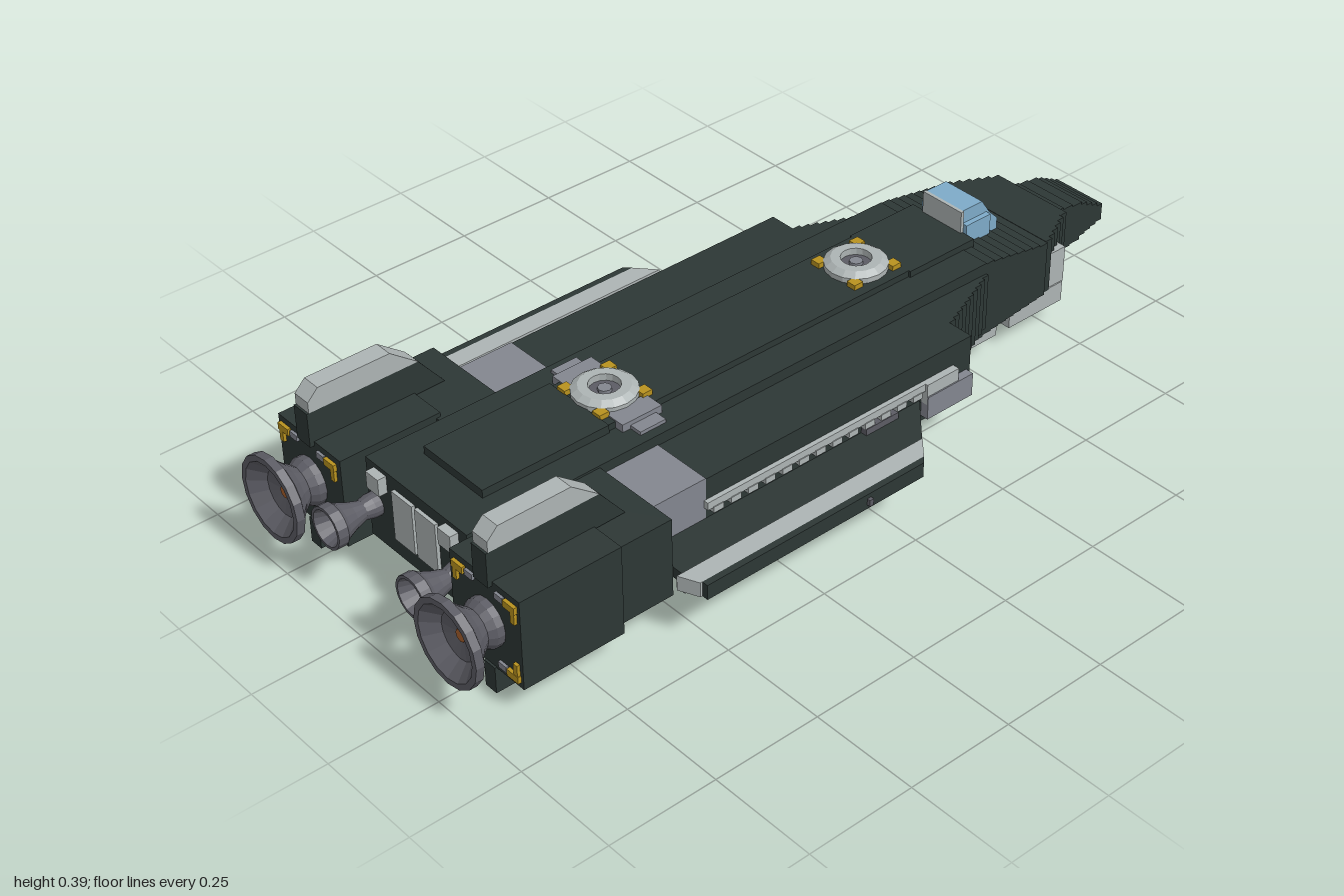
import * as THREE from 'three';

const mat = (name, color) => Object.assign(new THREE.MeshStandardMaterial({ color }), { name });

export function createModel() {
  const root = new THREE.Group();
  root.name = 'spaceship';
  const dark = mat('hull green black', 0x2d3735);
  const light = mat('pale grey', 0xadb4b4);
  const mid = mat('blue grey', 0x83868f);
  const metal = mat('engine grey', 0x5c5c64);
  const blue = mat('canopy blue', 0x7eabc8);
  const yellow = mat('warning yellow', 0xb8921f);
  const orange = mat('burnt orange', 0xa8602c);

  const add = (name, geo, m) => {
    const mesh = new THREE.Mesh(geo, m);
    mesh.name = name;
    root.add(mesh);
    return mesh;
  };
  // Box given by its limits on each axis
  const box = (name, m, x0, x1, y0, y1, z0, z1) => {
    const mesh = add(name, new THREE.BoxGeometry(x1 - x0, y1 - y0, z1 - z0), m);
    mesh.position.set((x0 + x1) / 2, (y0 + y1) / 2, (z0 + z1) / 2);
    return mesh;
  };
  const pair = (name, m, x0, x1, ...r) => {
    box(name + 'Left', m, x0, x1, ...r);
    box(name + 'Right', m, -x1, -x0, ...r);
  };
  // Run of stepped slices between two stations [z, halfWidth, bottom, top]
  const steps = (name, a, b, n) => {
    for (let i = 0; i < n; i++) {
      const [, w, y0, y1] = a.map((v, k) => v + (b[k] - v) * (i + 0.5) / n);
      const dz = (b[0] - a[0]) / n;
      box(name, dark, -w, w, y0, y1, a[0] + i * dz, a[0] + (i + 1) * dz);
    }
  };
  // Side profile in (z, y), extruded across x
  const profile = (name, m, pts, x0, x1) => {
    const s = new THREE.Shape(pts.map(([z, y]) => new THREE.Vector2(-z, y)));
    const g = new THREE.ExtrudeGeometry(s, { depth: x1 - x0, bevelEnabled: false });
    g.rotateY(Math.PI / 2).translate(x0, 0, 0);
    return add(name, g, m);
  };

  // Central hull, tapering forward to the nose at -z
  box('centralHull', dark, -0.162, 0.162, 0.075, 0.265, -0.53, 0.85);
  steps('noseTip', [-1, 0.07, 0.135, 0.17], [-0.93, 0.07, 0.115, 0.205], 4);
  steps('noseNeck', [-0.93, 0.07, 0.11, 0.205], [-0.84, 0.07, 0.1, 0.22], 3);
  steps('noseTaper', [-0.84, 0.1, 0.1, 0.235], [-0.72, 0.162, 0.1, 0.235], 6);
  steps('foreHull', [-0.72, 0.162, 0.1, 0.232], [-0.53, 0.162, 0.078, 0.265], 8);
  steps('shoulder', [-0.53, 0.165, 0.1, 0.238], [-0.34, 0.245, 0.09, 0.24], 10);

  // Raised spine plates
  box('spineFront', dark, -0.093, 0.093, 0.26, 0.28, -0.56, -0.37);
  box('spineMiddle', dark, -0.088, 0.088, 0.26, 0.28, -0.37, 0.45);
  box('spineRear', dark, -0.093, 0.093, 0.26, 0.284, 0.45, 0.76);

  // Canopy with a pale rear bulkhead
  profile('canopy', blue, [[-0.562, 0.26], [-0.562, 0.332], [-0.62, 0.332], [-0.645, 0.295], [-0.67, 0.27], [-0.67, 0.235]], -0.055, 0.055);
  pair('canopySide', blue, 0.055, 0.068, 0.25, 0.3, -0.635, -0.562);
  box('canopyBulkhead', light, -0.058, 0.058, 0.265, 0.332, -0.562, -0.554);

  // Side bodies, open underneath, with a fitted block near the rear
  pair('sideBody', dark, 0.16, 0.305, 0.135, 0.24, -0.34, 0.385);
  pair('sideBodyFront', dark, 0.16, 0.305, 0.09, 0.136, -0.34, -0.19);
  pair('sideBlock', mid, 0.162, 0.305, 0.135, 0.242, 0.385, 0.53);

  // Wings with slanted leading edge and pale edge strip
  for (const s of [1, -1]) {
    const wing = (name, m, pts, y0, y1) => {
      const shape = new THREE.Shape(pts.map(([x, z]) => new THREE.Vector2(s * x, -z)));
      const g = new THREE.ExtrudeGeometry(shape, { depth: y1 - y0, bevelEnabled: false });
      add(name, g.rotateX(-Math.PI / 2).translate(0, y0, 0), m);
    };
    wing('wingPlate', dark, [[0.3, -0.2], [0.41, -0.1], [0.41, 0.53], [0.3, 0.53]], 0.12, 0.145);
    wing('wingStrip', light, [[0.41, -0.1], [0.455, -0.06], [0.455, 0.53], [0.41, 0.55]], 0.12, 0.155);
    wing('wingEdge', dark, [[0.455, -0.06], [0.47, -0.045], [0.47, 0.525], [0.455, 0.525]], 0.12, 0.155);
  }
  pair('wingUnderStrip', light, 0.385, 0.41, 0.1, 0.12, -0.05, 0.53);
  pair('wingPin', metal, 0.47, 0.478, 0.13, 0.145, 0.1, 0.11);

  // Toothed rails along the side bodies
  pair('sideRail', light, 0.305, 0.316, 0.172, 0.19, -0.29, 0.39);
  for (let i = 0; i < 15; i++) {
    const z = -0.28 + i * 0.045;
    pair('railTooth', light, 0.305, 0.318, 0.16, 0.174, z, z + 0.026);
  }

  // Equipment hung beneath the wings
  pair('frontSensor', mid, 0.285, 0.325, 0.105, 0.16, -0.33, -0.2);
  pair('sensorCap', light, 0.295, 0.322, 0.14, 0.19, -0.29, -0.2);
  pair('underGun', light, 0.235, 0.375, 0.09, 0.118, 0, 0.12);
  pair('gunFoot', mid, 0.27, 0.34, 0.052, 0.09, -0.02, 0.08);
  pair('gunMount', metal, 0.25, 0.32, 0.07, 0.16, -0.12, -0.03);
  pair('gunMarker', yellow, 0.27, 0.3, 0.06, 0.09, -0.1, -0.06);

  // Belly panels and chin skids
  box('bellyPanelFront', light, -0.155, 0.155, 0.052, 0.076, -0.58, -0.15);
  box('bellyPanelRear', light, -0.155, 0.155, 0.056, 0.076, 0, 0.7);
  pair('chinSkid', light, 0.105, 0.155, 0.052, 0.102, -0.785, -0.62);
  pair('chinFairing', light, 0.12, 0.152, 0.1, 0.19, -0.79, -0.73);

  // Ring turrets, two above and one below
  const turret = (name, y, z, dir) => {
    const pts = [[0.034, 0], [0.07, 0], [0.07, 0.012], [0.055, 0.022], [0.034, 0.022], [0.034, 0]];
    const g = new THREE.LatheGeometry(pts.map(p => new THREE.Vector2(...p)), 16).toNonIndexed();
    g.computeVertexNormals();
    if (dir < 0) g.rotateX(Math.PI);
    add(name + 'Ring', g, light).position.set(0, y, z);
    const hub = add(name + 'Hub', new THREE.CylinderGeometry(0.015, 0.015, 0.014, 8), mid);
    hub.position.set(0, y + dir * 0.007, z);
    const well = add(name + 'Well', new THREE.CylinderGeometry(0.036, 0.036, 0.006, 16), metal);
    well.position.set(0, y + dir * 0.003, z);
    for (const sx of [-1, 1]) for (const sz of [-1, 1]) {
      const c = dir > 0 ? yellow : orange;
      const x = sx * 0.055, zz = z + sz * 0.055;
      const y0 = dir > 0 ? y : y - 0.02;
      box(name + 'Corner', c, x - 0.012, x + 0.012, y0, y0 + 0.012 + (dir < 0 ? 0.008 : 0), zz - 0.012, zz + 0.012);
    }
  };
  turret('frontTurret', 0.28, -0.3, 1);
  turret('rearTurret', 0.28, 0.385, 1);
  turret('bellyTurret', 0.062, -0.075, -1);
  box('bellyTurretBase', mid, -0.075, 0.075, 0.06, 0.08, -0.15, 0);
  pair('rearTurretWing', mid, 0.06, 0.11, 0.26, 0.283, 0.33, 0.43);
  pair('rearTurretTip', mid, 0.11, 0.14, 0.26, 0.273, 0.345, 0.41);

  // Engine pods
  pair('podFront', dark, 0.162, 0.375, 0.075, 0.26, 0.53, 0.67);
  pair('enginePod', dark, 0.175, 0.385, 0.06, 0.27, 0.66, 0.9);
  pair('podLink', dark, 0.155, 0.18, 0.09, 0.245, 0.66, 0.84);
  pair('lowerFin', dark, 0.27, 0.303, 0, 0.062, 0.7, 0.905);
  for (const cx of [0.283, -0.283]) {
    profile('upperFinBase', dark, [[0.91, 0.26], [0.91, 0.34], [0.645, 0.34], [0.585, 0.265]], cx - 0.022, cx + 0.022);
    profile('upperFinTip', light, [[0.905, 0.34], [0.905, 0.365], [0.88, 0.39], [0.71, 0.39], [0.645, 0.34]], cx - 0.022, cx + 0.022);
    // Yellow and grey fittings in the corners of the pod's rear face
    for (const sx of [-1, 1]) for (const sy of [-1, 1]) {
      const x = cx + sx * 0.078, y = 0.165 + sy * 0.083;
      box('podFitting', yellow, x - 0.017, x + 0.017, y - 0.008, y + 0.008, 0.898, 0.908);
      box('podFittingSide', yellow, x + sx * 0.009 - 0.006, x + sx * 0.009 + 0.006, y - sy * 0.02 - 0.014, y - sy * 0.02 + 0.014, 0.898, 0.907);
      box('podVent', mid, cx + sx * 0.045 - 0.012, cx + sx * 0.045 + 0.012, y - 0.007, y + 0.007, 0.898, 0.906);
    }
  }

  // Flared engine nozzles with hollow bells
  const nozzle = (name, x, r, z0, z1) => {
    const d = z1 - z0;
    const pts = [[0, 0], [0.55, 0], [0.55, 0.2], [0.45, 0.35], [0.62, 0.55], [0.85, 0.75], [1, 0.82], [1, 1], [0.86, 1], [0.55, 0.7], [0, 0.6]];
    const g = new THREE.LatheGeometry(pts.map(([a, b]) => new THREE.Vector2(a * r, b * d)), 16).toNonIndexed();
    g.computeVertexNormals();
    g.rotateX(Math.PI / 2);
    add(name, g, metal).position.set(x, 0.165, z0);
  };
  for (const s of [1, -1]) {
    nozzle('mainNozzle', s * 0.285, 0.096, 0.895, 1);
    nozzle('smallNozzle', s * 0.138, 0.047, 0.84, 0.97);
    const core = add('nozzleCore', new THREE.CylinderGeometry(0.014, 0.014, 0.01, 8), orange);
    core.rotation.x = Math.PI / 2;
    core.position.set(s * 0.285, 0.165, 0.96);
  }
  pair('nozzleBracket', light, 0.095, 0.135, 0.215, 0.255, 0.82, 0.87);

  // Rear hangar doors with a dark seam
  pair('hangarDoor', light, 0.004, 0.07, 0.12, 0.238, 0.845, 0.858);
  return root;
}
